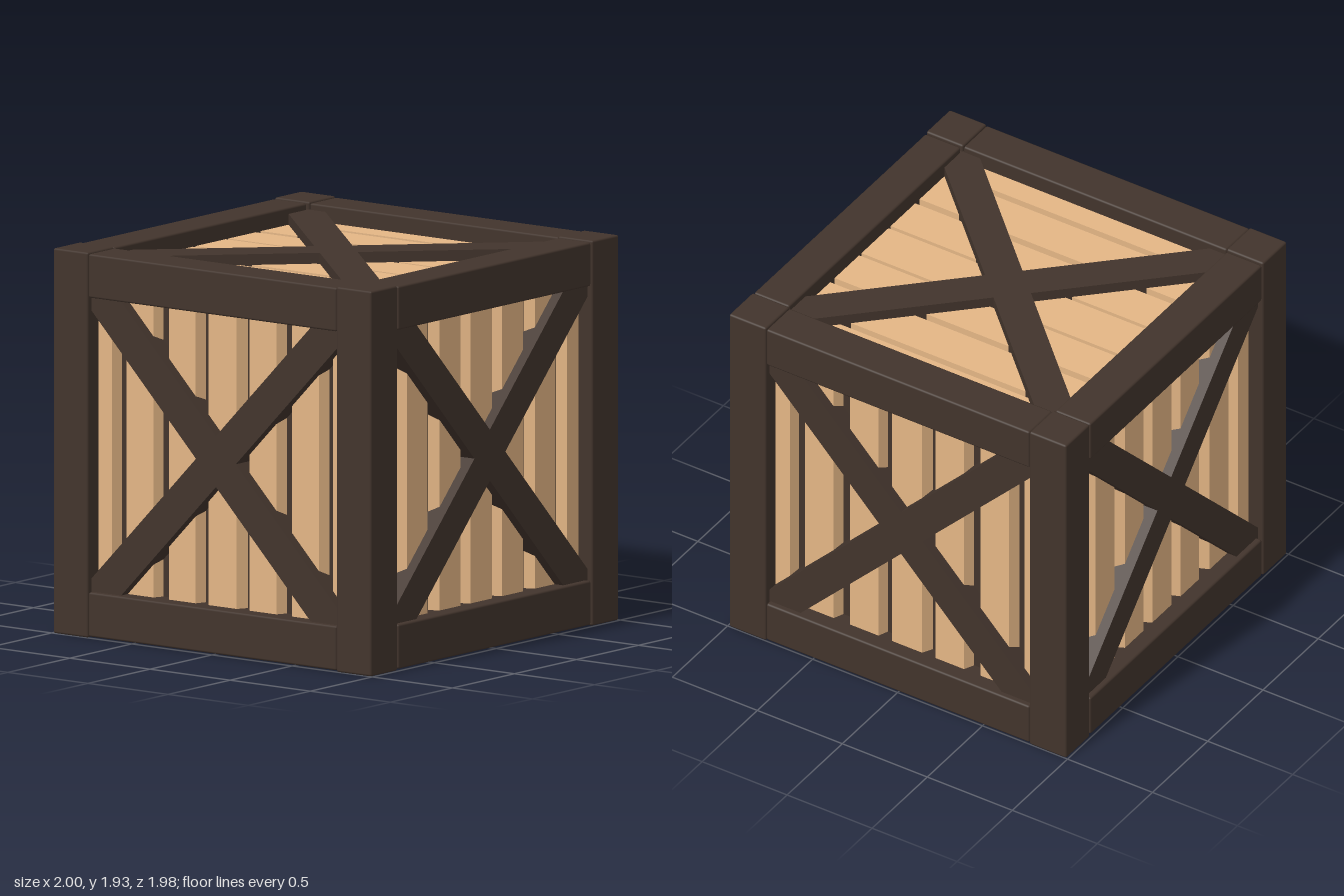
import * as THREE from 'three';
import { RoundedBoxGeometry } from 'three/addons/geometries/RoundedBoxGeometry.js';

const darkWood = new THREE.MeshStandardMaterial({ color: 0x42342c });
darkWood.name = 'dark wood';
const paleWood = new THREE.MeshStandardMaterial({ color: 0xe4b685 });
paleWood.name = 'pale wood';

// Overall size of the crate
const X = 1, Z = 0.992, TOP = 1.93, MID = TOP / 2;
// Depths behind the outer faces
const BRACE_DEPTH = 0.032, PLANK_DEPTH = 0.086, CORE_DEPTH = 0.14;

function add(parent, name, geometry, material) {
  const mesh = new THREE.Mesh(geometry, material);
  mesh.name = name;
  parent.add(mesh);
  return mesh;
}

// Slightly eased timber given by its lower and upper corners
function timber(parent, name, [x0, y0, z0], [x1, y1, z1]) {
  const geo = new RoundedBoxGeometry(x1 - x0, y1 - y0, z1 - z0, 1, 0.01);
  add(parent, name, geo, darkWood)
    .position.set((x0 + x1) / 2, (y0 + y1) / 2, (z0 + z1) / 2);
}

const toShape = (points) => new THREE.Shape(points.map(([x, y]) => new THREE.Vector2(x, y)));

// Plank with a trapezoid section: narrow at the face, wide at the core
function plank(face, base, length) {
  const shape = toShape([
    [base[0], CORE_DEPTH + 0.01], [base[1], CORE_DEPTH + 0.01],
    [face[1], PLANK_DEPTH], [face[0], PLANK_DEPTH],
  ]);
  const geo = new THREE.ExtrudeGeometry(shape, { depth: length, bevelEnabled: false });
  return geo.translate(0, 0, -length / 2).rotateX(-Math.PI / 2);
}

// One-piece diagonal cross whose square ends run in behind the frame;
// reach is x + y at the ends, h the half height of a bar
function cross(reach, h) {
  const s = 1.03;
  const xa = (reach - h) / (1 + s), xb = (reach + h) / (1 + s);
  const q = [[0, h], [xa, reach - xa], [xb, reach - xb]];
  const right = [...q, [h / s, 0], ...q.slice().reverse().map(([x, y]) => [x, -y])];
  const left = right.slice(1, -1).reverse().map(([x, y]) => [-x, y]);
  const geo = new THREE.ExtrudeGeometry(toShape([...right, ...left]),
    { depth: CORE_DEPTH - BRACE_DEPTH, bevelEnabled: false });
  return geo.translate(0, 0, -CORE_DEPTH);
}

// Plank edges from the middle outwards
const baseEdges = [[-0.122, 0.122], [0.143, 0.365], [0.405, 0.63], [0.667, 0.88]];
const slopedEdges = [[-0.088, 0.088], [0.168, 0.335], [0.432, 0.6], [0.69, 0.88]];

// Panel lying behind the plane z = 0 and facing +z
function panel(name, length, faceEdges, reach, barHalf) {
  const group = new THREE.Group();
  group.name = name;
  const flip = ([a, b]) => [-b, -a];
  baseEdges.forEach((base, i) => {
    const face = faceEdges[i];
    add(group, 'plank', plank(face, base, length), paleWood);
    if (i > 0) add(group, 'plank', plank(flip(face), flip(base), length), paleWood);
  });
  add(group, 'crossBrace', cross(reach, barHalf), darkWood);
  return group;
}

export function createModel() {
  const crate = new THREE.Group();
  crate.name = 'crate';

  // Dark inner box seen through the gaps
  add(crate, 'innerBox', new THREE.BoxGeometry(
    2 * (X - CORE_DEPTH), TOP - 2 * CORE_DEPTH, 2 * (Z - CORE_DEPTH)), darkWood)
    .position.y = MID;

  // Corner posts
  for (const sx of [-1, 1]) for (const sz of [-1, 1]) {
    timber(crate, 'cornerPost',
      [sx > 0 ? 0.785 : -X, 0, sz > 0 ? 0.775 : -Z],
      [sx > 0 ? X : -0.785, TOP, sz > 0 ? Z : -0.775]);
  }

  // Top and bottom rails
  for (const [y0, y1] of [[0.006, 0.228], [1.705, 1.924]]) for (const s of [-1, 1]) {
    timber(crate, 'crossRail',
      [-0.777, y0, s > 0 ? 0.783 : -0.99], [0.777, y1, s > 0 ? 0.99 : -0.783]);
    timber(crate, 'sideRail',
      [s > 0 ? 0.787 : -0.998, y0, -0.774], [s > 0 ? 0.998 : -0.787, y1, 0.774]);
  }

  // Four upright panels
  ['frontPanel', 'leftPanel', 'backPanel', 'rightPanel'].forEach((name, i) => {
    const p = panel(name, 1.8, slopedEdges, 1.635, 0.128);
    const a = i * Math.PI / 2;
    p.rotation.y = a;
    p.position.set(Math.sin(a) * X, MID, Math.cos(a) * Z);
    crate.add(p);
  });

  // Lid and floor, with square-edged planks
  for (const [name, s, y] of [['lid', -1, 1.924], ['floor', 1, 0.006]]) {
    const p = panel(name, 1.79, baseEdges, 1.65, 0.135);
    p.rotation.x = s * Math.PI / 2;
    p.position.y = y;
    crate.add(p);
  }
  return crate;
}
